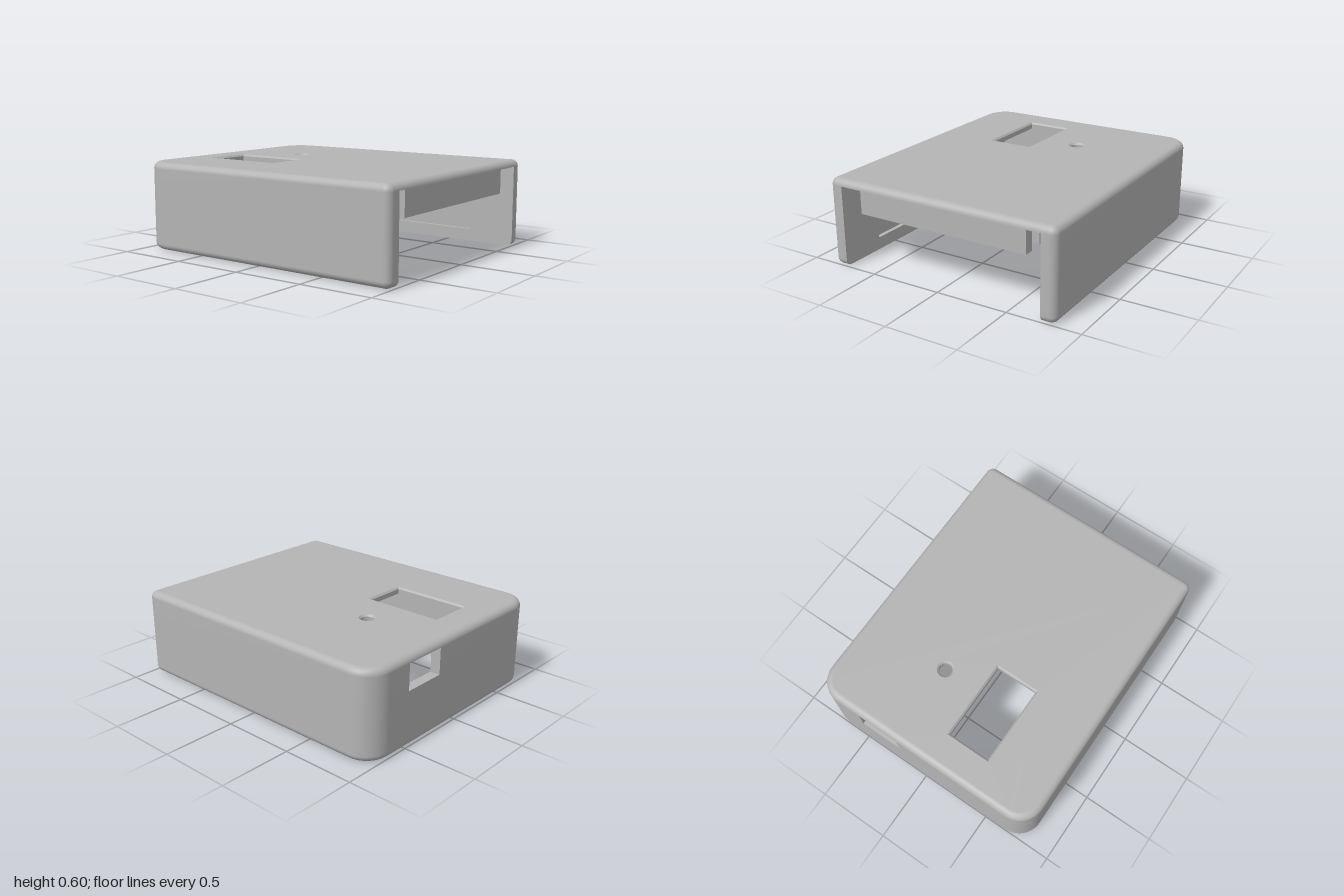
import * as THREE from 'three';

const W = 1, D = 0.83, H = 0.6;          // half width, half depth, height
const R = 0.045;                         // edge fillet
const INX = -0.93, INZ = 0.73, CEIL = H - R; // inner faces
const PORT = { z0: -0.48, z1: -0.18, y: 0.375 };

const plastic = new THREE.MeshStandardMaterial({ color: 0xb4b4b4, side: THREE.DoubleSide });
plastic.name = 'grey plastic';

// Plan outline as [x, z], running from one end of the open side round to the other
function outline(inset) {
  const pts = [[W - inset, INZ]];
  const corner = (sx, sz, r, start) => {
    const n = 12;
    for (let i = 0; i <= n; i++) {
      const a = start + (i / n) * Math.PI / 2;
      pts.push([sx * (W - r) + Math.cos(a) * (r - inset), sz * (D - r) + Math.sin(a) * (r - inset)]);
    }
  };
  corner(1, 1, 0.05, 0);
  corner(-1, 1, 0.17, Math.PI / 2);
  pts.push([-W + inset, PORT.z1], [-W + inset, PORT.z0]);
  corner(-1, -1, 0.17, Math.PI);
  corner(1, -1, 0.05, Math.PI * 1.5);
  pts.push([W - inset, -INZ]);
  return pts;
}

const windowRing = g => [[-0.77 - g, 0.08 - g], [-0.23 + g, 0.08 - g], [-0.23 + g, 0.375 + g], [-0.77 - g, 0.375 + g]];
const buttonRing = g => Array.from({ length: 32 }, (_, i) => {
  const a = (i / 32) * Math.PI * 2;
  return [-0.435 + Math.cos(a) * (0.045 + g), -0.195 + Math.sin(a) * (0.045 + g)];
});

// Joins closed rings {pts, y} into a skin; skip(j, k) leaves a quad open
function loft(rings, skip = () => false) {
  const n = rings[0].pts.length, pos = [], idx = [];
  rings.forEach(r => r.pts.forEach(([x, z]) => pos.push(x, r.y, z)));
  for (let k = 0; k < rings.length - 1; k++) {
    for (let j = 0; j < n; j++) {
      if (skip(j, k)) continue;
      const a = k * n + j, b = k * n + (j + 1) % n;
      idx.push(a, a + n, b, b, a + n, b + n);
    }
  }
  const g = new THREE.BufferGeometry();
  g.setAttribute('position', new THREE.Float32BufferAttribute(pos, 3));
  g.setIndex(idx);
  g.computeVertexNormals();
  return g;
}

// Flat horizontal face from plan points, with holes
function flat(pts, holes, y, up) {
  const s = up ? -1 : 1;
  const v = list => list.map(([x, z]) => new THREE.Vector2(x, s * z));
  const shape = new THREE.Shape(v(pts));
  holes.forEach(h => shape.holes.push(new THREE.Path(v(h))));
  return new THREE.ShapeGeometry(shape).rotateX(s * Math.PI / 2).translate(0, y, 0);
}

// Panel across the closed end, with a notch for the port cut from its top edge
function portPanel(a, b, y0, x0, x1) {
  const l = -PORT.z1, r = -PORT.z0;
  const pts = [[a, y0], [b, y0], [b, CEIL], [r, CEIL], [r, PORT.y], [l, PORT.y], [l, CEIL], [a, CEIL]];
  const shape = new THREE.Shape(pts.map(p => new THREE.Vector2(...p)));
  return new THREE.ExtrudeGeometry(shape, { depth: x1 - x0, bevelEnabled: false })
    .rotateY(Math.PI / 2).translate(x0, 0, 0);
}

export function createModel() {
  const model = new THREE.Group();
  model.name = 'enclosureCover';
  const add = (name, geometry) => {
    const m = new THREE.Mesh(geometry, plastic);
    m.name = name;
    model.add(m);
    return m;
  };
  const box = (name, x0, x1, y0, y1, z0, z1) => add(name,
    new THREE.BoxGeometry(x1 - x0, y1 - y0, z1 - z0).translate((x0 + x1) / 2, (y0 + y1) / 2, (z0 + z1) / 2));

  // Outer skin: bottom fillet, walls, top fillet
  const rings = [], steps = 8;
  for (let i = 0; i <= steps; i++) {
    const a = (i / steps) * Math.PI / 2;
    rings.push({ pts: outline(R * (1 - Math.sin(a))), y: R * (1 - Math.cos(a)) });
  }
  rings.push({ pts: outline(0), y: PORT.y });
  const ceilRing = rings.length;
  for (let i = 0; i <= steps; i++) {
    const a = (i / steps) * Math.PI / 2;
    rings.push({ pts: outline(R * (1 - Math.cos(a))), y: CEIL + R * Math.sin(a) });
  }
  const last = rings[0].pts.length - 1;
  const portSegment = 27; // after the start point and two 13-point corners
  add('outerShell', loft(rings, (j, k) =>
    (j === last && k < ceilRing) || (j === portSegment && k === ceilRing - 1)));

  // Top face, ceiling and the chamfered openings between them
  const g = 0.012;
  add('topFace', flat(outline(R), [windowRing(g), buttonRing(g)], H, true));
  add('ceiling', flat(outline(0), [windowRing(0), buttonRing(0)], CEIL, false));
  for (const [name, ring] of [['displayWindow', windowRing], ['buttonHole', buttonRing]]) {
    const sides = loft([{ pts: ring(0), y: CEIL }, { pts: ring(0), y: H - g }, { pts: ring(g), y: H }]).toNonIndexed();
    sides.computeVertexNormals();
    add(name + 'Edge', sides);
  }

  // Bottom rim of the three walls
  add('bottomRim', flat([...outline(R), [INX, -INZ], [INX, INZ]], [], 0, false));

  // Inner side walls, each with a long shallow groove
  const depth = 0.03;
  for (const s of [1, -1]) {
    const shape = new THREE.Shape();
    shape.moveTo(INX, 0);
    shape.lineTo(W - R, 0);
    shape.absarc(W - R, R, R, -Math.PI / 2, 0, false);
    shape.lineTo(W, CEIL);
    shape.lineTo(INX, CEIL);
    shape.holes.push(new THREE.Path([[-0.64, 0.085], [0.67, 0.085], [0.67, 0.19], [-0.64, 0.19]]
      .map(p => new THREE.Vector2(...p))));
    const wall = new THREE.ExtrudeGeometry(shape, { depth, bevelEnabled: false, curveSegments: 8 });
    add('innerSideWall', wall.translate(0, 0, s > 0 ? INZ : -INZ - depth));
    const z = s * (INZ + depth + 0.004);
    box('grooveFloor', -0.66, 0.69, 0.07, 0.2, z - 0.004, z + 0.004);
  }

  // Inner end wall and the reveal of the port opening
  add('innerEndWall', portPanel(-INZ, INZ, 0, INX - 0.003, INX));
  add('portReveal', portPanel(0.15, 0.51, 0.34, -0.999, INX - 0.001));

  // Hanging lip on the open side with a wider, shallower rib behind it
  box('hangingLip', 0.89, 0.96, 0.38, CEIL, -0.61, 0.61);
  box('lipRib', 0.7, 0.89, 0.43, CEIL, -0.66, 0.66);

  return model;
}
